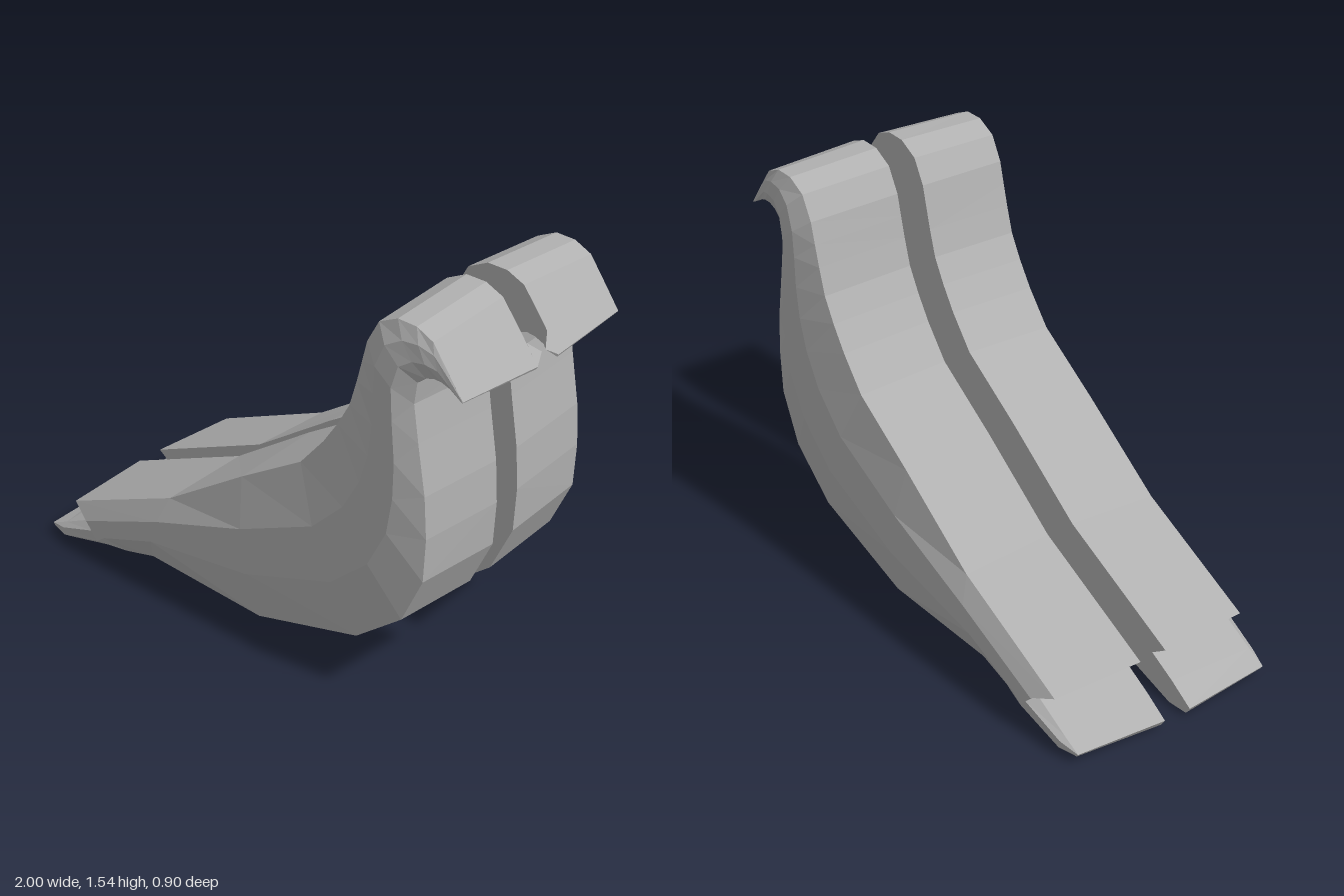
import * as THREE from 'three';

// Stations from tail to beak: [back x, back y, belly x, belly y, side half-depth]
const stations = [
  [-1.00, 0.04, -0.98, 0.01, 0.41],
  [-0.90, 0.10, -0.89, 0.00, 0.43],
  [-0.76, 0.17, -0.66, 0.06, 0.445],
  [-0.86, 0.205, -0.55, 0.085, 0.445], // upper tail layer steps back over the lower one
  [-0.33, 0.44, -0.44, 0.11, 0.45],
  [0.02, 0.68, 0.10, 0.09, 0.45],
  [0.29, 0.85, 0.56, 0.22, 0.45],
  [0.39, 0.97, 0.76, 0.38, 0.45],
  [0.45, 1.06, 0.85, 0.57, 0.45],
  [0.50, 1.15, 0.86, 0.74, 0.45],
  [0.53, 1.25, 0.85, 0.90, 0.45],
  [0.55, 1.33, 0.82, 1.09, 0.45],
  [0.57, 1.41, 0.80, 1.23, 0.45],
  [0.62, 1.50, 0.81, 1.31, 0.445],
  [0.70, 1.54, 0.84, 1.335, 0.435],
  [0.78, 1.54, 0.87, 1.345, 0.43],
  [0.85, 1.51, 0.90, 1.342, 0.42],
  [0.92, 1.42, 0.93, 1.33, 0.415],
  [1.00, 1.31, 0.995, 1.30, 0.41],
];
const INNER = 0.055, SHOULDER = 0.41;

// Cross-section: inner back edge, outer back edge, two side points, outer and inner belly edge
function section([tx, ty, bx, by, depth], i) {
  const inset = Math.min(0.3, 0.02 / Math.hypot(bx - tx, by - ty));
  const end = i === 0 ? 0.02 : i === stations.length - 1 ? -0.02 : 0;
  const at = (t, z, shift = 0) =>
    [tx + (bx - tx) * t + shift, ty + (by - ty) * t + Math.abs(shift) * 0.75, z];
  return [
    at(0, INNER), at(inset, SHOULDER, end), at(0.35, depth, end),
    at(0.65, depth, end), at(1 - inset, SHOULDER, end), at(1, INNER),
  ];
}

function meshFrom(triangles, side, material, name) {
  const positions = [];
  for (const [a, b, c] of triangles) {
    for (const p of side > 0 ? [a, b, c] : [a, c, b]) positions.push(p[0], p[1], p[2] * side);
  }
  const geometry = new THREE.BufferGeometry();
  geometry.setAttribute('position', new THREE.Float32BufferAttribute(positions, 3));
  geometry.computeVertexNormals(); // unshared corners keep every facet flat
  const mesh = new THREE.Mesh(geometry, material);
  mesh.name = name;
  return mesh;
}

function bodyTriangles() {
  const rings = stations.map(section);
  const triangles = [];
  const n = rings[0].length;
  for (let i = 0; i < rings.length - 1; i++) {
    for (let j = 0; j < n; j++) {
      const k = (j + 1) % n;
      const a = rings[i][j], b = rings[i + 1][j], c = rings[i + 1][k], d = rings[i][k];
      triangles.push([a, d, c], [a, c, b]);
    }
  }
  // Tail and beak ends
  const tail = rings[0], beak = rings[rings.length - 1];
  for (let j = 1; j < n - 1; j++) {
    triangles.push([tail[0], tail[j + 1], tail[j]], [beak[0], beak[j], beak[j + 1]]);
  }
  return triangles;
}

// Small point on the inner face of the beak
function beakPointTriangles() {
  const apex = [0.98, 1.34, 0.01];
  const base = [[0.95, 1.38, INNER], [1.0, 1.31, INNER], [0.995, 1.3, INNER], [0.94, 1.325, INNER]];
  return base.map((p, i) => [p, base[(i + 1) % 4], apex]);
}

export function createModel() {
  const model = new THREE.Group();
  model.name = 'splitBird';
  const grey = new THREE.MeshStandardMaterial({ color: 0xb0b0b0, side: THREE.DoubleSide });
  grey.name = 'grey';

  for (const side of [1, -1]) {
    const half = new THREE.Group();
    half.name = side > 0 ? 'frontHalf' : 'backHalf';
    half.add(meshFrom(bodyTriangles(), side, grey, 'body'));
    half.add(meshFrom(beakPointTriangles(), side, grey, 'beakPoint'));
    model.add(half);
  }
  return model;
}
